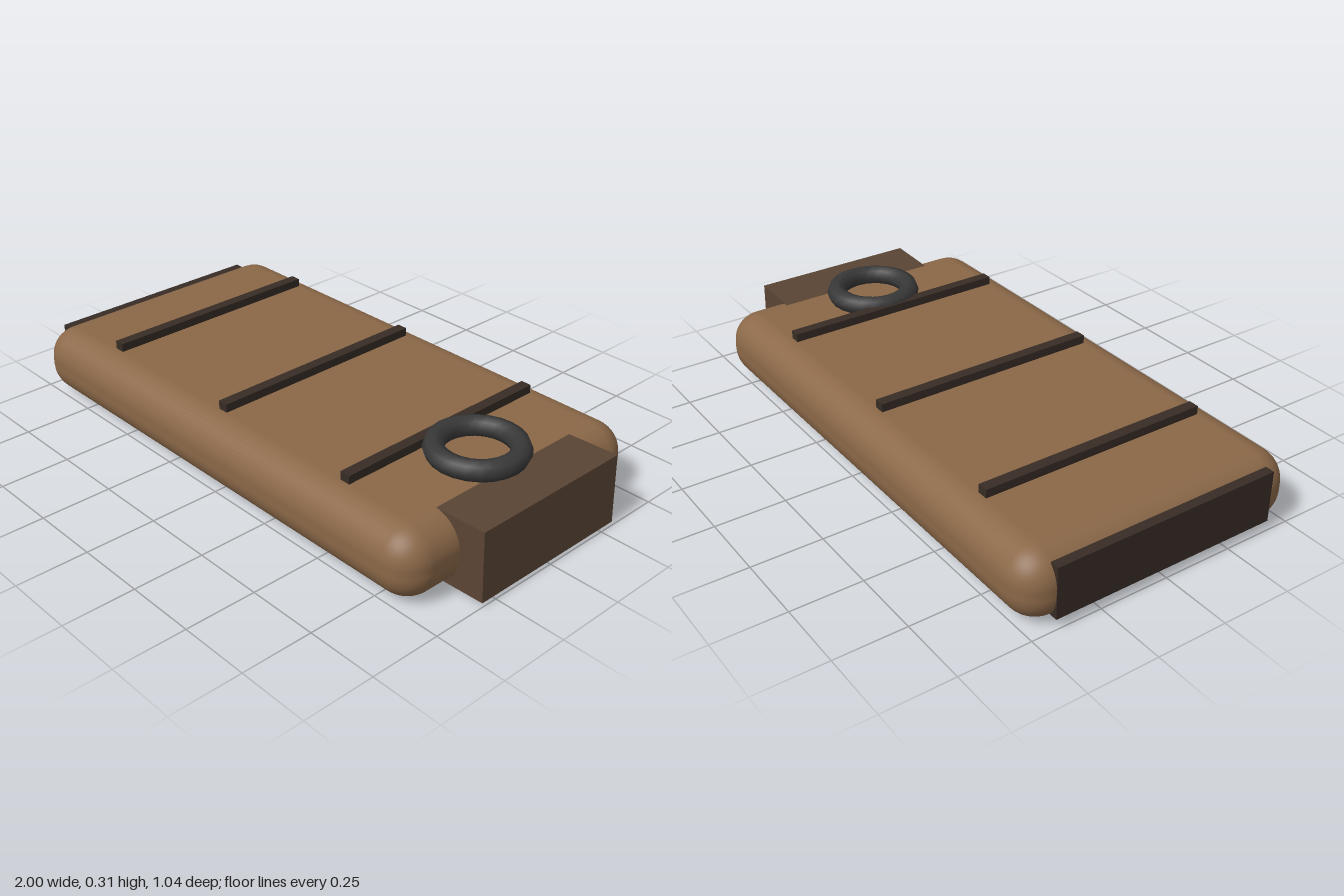
import * as THREE from 'three';
import { RoundedBoxGeometry } from 'three/addons/geometries/RoundedBoxGeometry.js';

const material = (color) => new THREE.MeshStandardMaterial({ color });

export function createModel() {
  const model = new THREE.Group();
  model.name = 'bedroll';

  const hide = material(0x8b6848);
  const flapLeather = material(0x5a4434);
  const strapLeather = material(0x372c25);
  const iron = material(0x383838);

  function add(name, geometry, mat, x, y, z = 0) {
    const mesh = new THREE.Mesh(geometry, mat);
    mesh.name = name;
    mesh.position.set(x, y, z);
    model.add(mesh);
    return mesh;
  }

  // Soft padded body
  add('body', new RoundedBoxGeometry(1.898, 0.244, 1.04, 5, 0.108), hide, -0.049, 0.13);

  // Straps lying across the top
  [-0.635, -0.05, 0.53].forEach((x, i) => {
    add(`strap${i + 1}`, new THREE.BoxGeometry(0.038, 0.03, 0.83), strapLeather, x, 0.272);
  });

  // Upright strap closing the far end
  add('endStrap', new THREE.BoxGeometry(0.034, 0.184, 0.83), strapLeather, -0.983, 0.133);

  // Slightly tilted block flap at the opening
  const flap = add('flap', new THREE.BoxGeometry(0.307, 0.243, 0.613), flapLeather, 0.839, 0.131);
  flap.rotation.z = 0.038;

  // Ring resting on top
  const ring = add('ring', new THREE.TorusGeometry(0.136, 0.036, 8, 24), iron, 0.685, 0.277);
  ring.rotation.x = -Math.PI / 2;

  return model;
}
